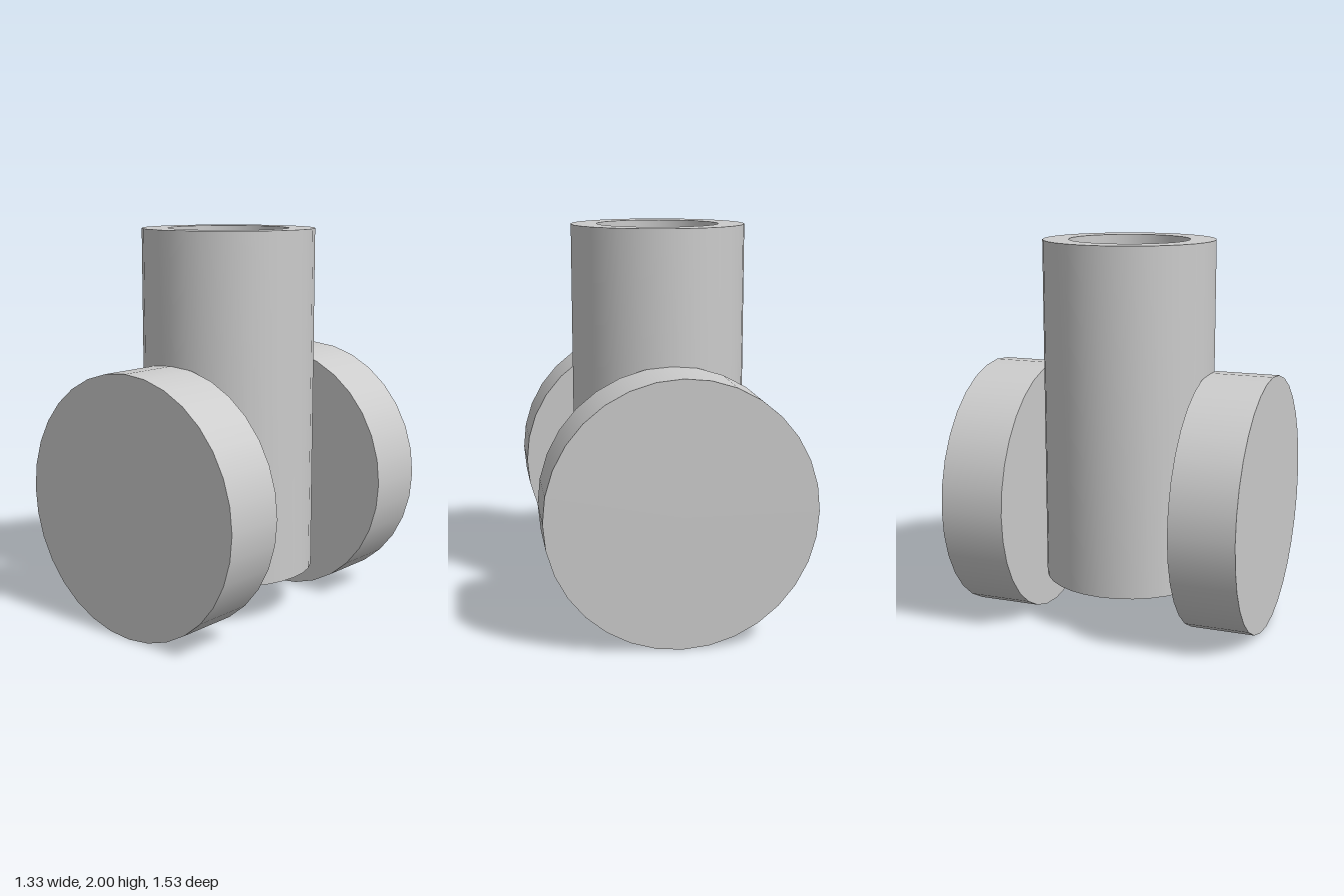
import * as THREE from 'three';
import { toCreasedNormals } from 'three/addons/utils/BufferGeometryUtils.js';

const SEGMENTS = 32;
const TUBE = { outer: 0.444, inner: 0.311, bottom: 0.222, top: 2 };
const DISC = { radius: 0.667, thickness: 0.333, offset: 0.6 };

export function createModel() {
  const model = new THREE.Group();
  model.name = 'tubeWithDiscs';
  const material = new THREE.MeshStandardMaterial({ color: 0xcccccc });

  // Upright hollow tube: closed ring profile, up the outside and down the bore
  const profile = [
    [TUBE.outer, TUBE.bottom],
    [TUBE.outer, TUBE.top],
    [TUBE.inner, TUBE.top],
    [TUBE.inner, TUBE.bottom],
    [TUBE.outer, TUBE.bottom],
  ].map(([r, y]) => new THREE.Vector2(r, y));
  const tube = new THREE.Mesh(
    toCreasedNormals(new THREE.LatheGeometry(profile, SEGMENTS), 0.6),
    material
  );
  tube.name = 'tube';
  model.add(tube);

  // Solid discs standing on the ground, in front of and behind the tube
  const discGeometry = new THREE.CylinderGeometry(DISC.radius, DISC.radius, DISC.thickness, SEGMENTS);
  discGeometry.rotateX(Math.PI / 2);
  for (const [name, side] of [['frontDisc', 1], ['backDisc', -1]]) {
    const disc = new THREE.Mesh(discGeometry, material);
    disc.name = name;
    disc.position.set(0, DISC.radius, side * DISC.offset);
    model.add(disc);
  }

  return model;
}
